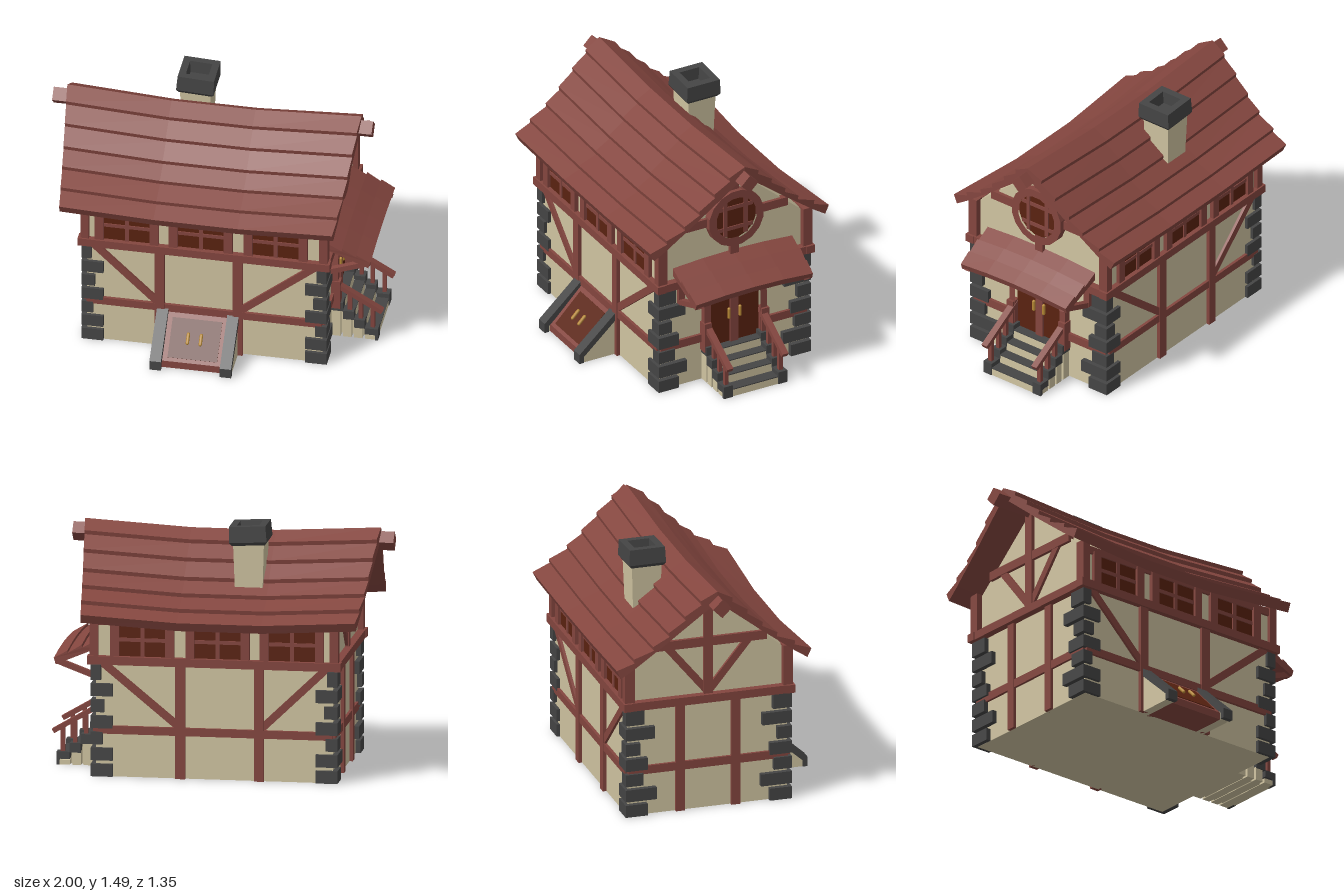
import * as THREE from 'three';

const CX = -0.01, CZ = -0.07; // centre of the house body

const colour = (name, hex) => {
  const m = new THREE.MeshStandardMaterial({ color: hex });
  m.name = name;
  return m;
};

export function createModel() {
  const model = new THREE.Group();
  model.name = 'timberHouse';
  const plaster = colour('plaster', 0xd0c4a1);
  const wood = colour('redTimber', 0x84463f);
  const stone = colour('darkStone', 0x454545);
  const panel = colour('darkPanel', 0x5a2210);
  const brass = colour('brass', 0xb98a35);

  const add = (name, geo, mat) => {
    const m = new THREE.Mesh(geo, mat);
    m.name = name;
    model.add(m);
    return m;
  };
  const box = (name, mat, x0, x1, y0, y1, z0, z1) => {
    const m = add(name, new THREE.BoxGeometry(x1 - x0, y1 - y0, z1 - z0), mat);
    m.position.set((x0 + x1) / 2, (y0 + y1) / 2, (z0 + z1) / 2);
    return m;
  };
  // square beam running between two points
  const strut = (name, a, b, w, h = w, mat = wood) => {
    const p = new THREE.Vector3(...a), q = new THREE.Vector3(...b);
    const m = add(name, new THREE.BoxGeometry(w, h, p.distanceTo(q)), mat);
    m.position.copy(p).add(q).multiplyScalar(0.5);
    m.lookAt(q);
    return m;
  };
  // [z, y] outline extruded along x
  const extrudeX = (pts, x0, x1, hole, steps = 1) => {
    const toV = ([z, y]) => new THREE.Vector2(-z, y);
    const shape = new THREE.Shape(pts.map(toV));
    if (hole) shape.holes.push(new THREE.Path(hole.map(toV)));
    const g = new THREE.ExtrudeGeometry(shape, { depth: x1 - x0, steps, bevelEnabled: false });
    return g.rotateY(Math.PI / 2).translate(x0, 0, 0);
  };
  // [x, y] outline extruded along z
  const extrudeZ = (pts, z0, z1, steps = 1) => {
    const shape = new THREE.Shape(pts.map(([x, y]) => new THREE.Vector2(x, y)));
    return new THREE.ExtrudeGeometry(shape, { depth: z1 - z0, steps, bevelEnabled: false }).translate(0, 0, z0);
  };
  const handle = (x, y, z, tilt = 0) => {
    const m = add('handle', new THREE.CapsuleGeometry(0.01, 0.055, 3, 8), brass);
    m.position.set(x, y, z);
    m.rotation.x = tilt;
  };

  // plastered body with gables
  add('walls', extrudeX([[CZ - 0.49, 0], [CZ - 0.49, 0.93], [CZ, 1.35], [CZ + 0.49, 0.93], [CZ + 0.49, 0]],
    CX - 0.7, CX + 0.7), plaster);

  // corner stones
  const frontW = [0.13, 0.13, 0.07, 0.13, 0.08, 0.13, 0.06], sideW = [0.135, 0.19, 0.11, 0.135, 0.09, 0.18, 0.115];
  for (const sx of [-1, 1]) for (const sz of [-1, 1]) for (let i = 0; i < 7; i++) {
    const m = add('cornerStone', new THREE.BoxGeometry(frontW[i], i === 6 ? 0.09 : 0.075, sideW[i]), stone);
    m.position.set(CX + sx * (0.73 - frontW[i] / 2), i * 0.096 + (i === 6 ? 0.045 : 0.038), CZ + sz * (0.51 - sideW[i] / 2));
  }

  // long walls: framing and windows, front and back
  for (const s of [1, -1]) {
    const zBox = (name, mat, x0, x1, y0, y1, d) => {
      const a = CZ + s * 0.47, b = CZ + s * (0.49 + d);
      box(name, mat, x0, x1, y0, y1, Math.min(a, b), Math.max(a, b));
    };
    zBox('floorBeam', wood, CX - 0.75, CX + 0.75, 0.672, 0.722, 0.035);
    zBox('middleBeam', wood, CX - 0.7, CX + 0.7, 0.257, 0.305, 0.018);
    for (const x of [-0.275, 0.19]) zBox('wallPost', wood, x - 0.029, x + 0.029, 0, 0.69, 0.022);
    const zf = CZ + s * 0.49;
    strut('wallBrace', [-0.67, 0.68, zf], [-0.29, 0.315, zf], 0.032, 0.045);
    strut('wallBrace', [0.65, 0.68, zf], [0.205, 0.315, zf], 0.032, 0.045);
    zBox('topPlate', wood, CX - 0.7, CX + 0.7, 0.905, 0.95, 0.015);
    for (const x of [-0.47, -0.03, 0.415]) {
      zBox('windowPane', panel, x - 0.14, x + 0.14, 0.72, 0.92, 0.006);
      for (const e of [-1, 1]) zBox('windowJamb', wood, x + e * 0.163 - 0.026, x + e * 0.163 + 0.026, 0.71, 0.92, 0.025);
      zBox('windowMullion', wood, x - 0.012, x + 0.012, 0.71, 0.92, 0.014);
      zBox('windowBar', wood, x - 0.14, x + 0.14, 0.81, 0.832, 0.012);
    }
    for (const sx of [-1, 1]) {
      const x = CX + sx * 0.71;
      const a = CZ + s * 0.455, b = CZ + s * 0.515;
      box('cornerPost', wood, x - 0.025, x + 0.025, 0.71, 0.97, Math.min(a, b), Math.max(a, b));
    }
  }

  // gable walls: shared framing
  for (const s of [1, -1]) {
    const xBox = (name, y0, y1, z0, z1, d) => {
      const a = CX + s * 0.68, b = CX + s * (0.7 + d);
      box(name, wood, Math.min(a, b), Math.max(a, b), y0, y1, z0, z1);
    };
    xBox('floorBeam', 0.672, 0.722, CZ - 0.525, CZ + 0.525, 0.045);
    xBox('gableTie', 1.02, 1.075, CZ - 0.36, CZ + 0.36, 0.02);
    xBox('kingPost', 0.71, 1.36, CZ - 0.028, CZ + 0.028, 0.025);
    for (const e of [1, -1]) {
      const x = CX + s * 0.7;
      if (s > 0) {
        const z0 = CZ + e * 0.19, z1 = CZ + e * 0.49;
        xBox('middleBeam', 0.257, 0.308, Math.min(z0, z1), Math.max(z0, z1), 0.018);
      } else {
        xBox('wallPost', 0, 0.69, CZ + e * 0.17 - 0.028, CZ + e * 0.17 + 0.028, 0.02);
        strut('gableBrace', [x, 0.73, CZ], [x, 1.06, CZ + e * 0.27], 0.034, 0.045);
      }
    }
    if (s < 0) xBox('middleBeam', 0.257, 0.308, CZ - 0.49, CZ + 0.49, 0.016);
  }

  // roof: stepped planks, sagging in the middle
  const off = [0, 0.095, 0.187, 0.28, 0.37, 0.48, 0.58];
  const top = [1.4, 1.335, 1.245, 1.15, 1.07, 1.0, 0.935];
  const half = [[0, 1.4]];
  for (let i = 1; i < 7; i++) {
    half.push([off[i], top[i] + 0.012]);
    if (i < 6) half.push([off[i] - 0.004, top[i] - 0.012]);
  }
  half.push([0.555, 0.895], [0.47, 0.955], [0.28, 1.105], [0, 1.335]);
  const outerHalf = half.slice(0, -3), innerHalf = half.slice(-3, -1);
  const flip = (a) => a.map(([z, y]) => [-z, y]).reverse();
  const section = [...outerHalf, ...innerHalf, [0, 1.335], ...flip(innerHalf), ...flip(outerHalf.slice(1))];
  const roofGeo = extrudeX(section, 0, 3, null, 3);
  const stations = [-0.92, -0.3, 0.2, 0.83], pos = roofGeo.attributes.position;
  for (let i = 0; i < pos.count; i++) {
    const k = Math.round(pos.getX(i)), end = k === 0 ? -1 : k === 3 ? 1 : 0, z = pos.getZ(i);
    pos.setXYZ(i, stations[k] - end * 0.11 * Math.abs(z), pos.getY(i) + (end ? 0.035 : 0),
      CZ - 0.005 + z * (end ? 1.03 : 1));
  }
  roofGeo.computeVertexNormals();
  add('roof', roofGeo, wood);

  // ridge beam ends, set on edge
  for (const [a, b] of [[-1, -0.6], [0.5, 0.9]]) {
    const m = box('ridgeBeam', wood, a, b, 1.315, 1.395, CZ - 0.04, CZ + 0.04);
    m.rotation.x = Math.PI / 4;
  }

  // chimney
  const square = (profile) => {
    const pts = profile.map(([r, y]) => new THREE.Vector2(r * Math.SQRT2, y));
    const g = new THREE.LatheGeometry(pts, 4).rotateY(Math.PI / 4).toNonIndexed();
    g.computeVertexNormals();
    return g;
  };
  const stack = add('chimneyStack', square([[0.08, 1.05], [0.092, 1.4]]), plaster);
  stack.position.set(-0.185, 0, -0.303);
  const cap = add('chimneyCap', square([[0, 0], [0.098, 0], [0.112, 0.02], [0.108, 0.115], [0.066, 0.115], [0.06, 0.04], [0, 0.04]]), stone);
  cap.position.set(-0.185, 1.37, -0.303);
  cap.rotation.z = -0.05;

  // round gable window
  const ring = (r) => Array.from({ length: 16 }, (_, i) => {
    const a = ((i + 0.5) / 16) * Math.PI * 2;
    return [CZ + r * Math.cos(a), 1.048 + r * Math.sin(a)];
  });
  add('roundWindowFrame', extrudeX(ring(0.184), 0.68, 0.74, ring(0.135)), wood);
  add('roundWindowPane', extrudeX(ring(0.14), 0.68, 0.722), panel);
  for (const e of [-0.068, 0.068]) {
    box('roundWindowBar', wood, 0.7, 0.73, 0.932, 1.164, CZ + e - 0.012, CZ + e + 0.012);
    box('roundWindowBar', wood, 0.7, 0.728, 1.036 + e, 1.06 + e, CZ - 0.116, CZ + 0.116);
  }

  // arched double door
  const arch = (w, y0, ys, h) => {
    const pts = [[CZ + w, y0]];
    for (let i = 0; i <= 8; i++) {
      const a = (i / 8) * Math.PI;
      pts.push([CZ + w * Math.cos(a), ys + h * Math.sin(a)]);
    }
    return [...pts, [CZ - w, y0]];
  };
  add('doorFrame', extrudeX(arch(0.208, 0.2, 0.5, 0.205), 0.67, 0.73, arch(0.165, 0.205, 0.5, 0.16)), wood);
  add('doorPanel', extrudeX(arch(0.17, 0.2, 0.5, 0.163), 0.67, 0.7), panel);
  box('doorStile', wood, 0.69, 0.715, 0.21, 0.655, CZ - 0.026, CZ + 0.026);
  for (const e of [-1, 1]) {
    handle(0.715, 0.405, CZ + e * 0.037);
    box('doorJambFoot', wood, 0.69, 0.745, 0.2, 0.39, CZ + e * 0.192 - 0.024, CZ + e * 0.192 + 0.024);
  }

  // door canopy with brackets
  const canopy = extrudeZ([[0.68, 0.75], [0.945, 0.637], [0.957, 0.675], [0.875, 0.722], [0.873, 0.703 + 0.005],
    [0.79, 0.76], [0.788, 0.742], [0.68, 0.8]].map(([x, y]) => [x, y]), -1, 1, 4);
  const cp = canopy.attributes.position;
  for (let i = 0; i < cp.count; i++) {
    const u = cp.getZ(i), w = 0.4 - 0.05 * Math.max(0, cp.getX(i) - 0.75);
    cp.setXYZ(i, cp.getX(i), cp.getY(i) + 0.018 * (1 - u * u), CZ + u * w);
  }
  canopy.computeVertexNormals();
  add('canopy', canopy, wood);
  for (const e of [-1, 1]) {
    const z = CZ + e * 0.353;
    strut('canopyBracket', [0.69, 0.56, z], [0.945, 0.655, z], 0.036, 0.032);
    box('canopyPost', wood, 0.67, 0.715, 0.55, 0.69, z - 0.02, z + 0.02);
  }

  // entrance steps with stone-capped sides and railings
  const stepX = [0.68, 0.76, 0.825, 0.89, 0.968];
  for (let i = 0; i < 4; i++) {
    const x0 = stepX[i], x1 = stepX[i + 1], h = 0.21 - i * 0.053, sideH = 0.24 - i * 0.054;
    box('stepRiser', plaster, x0, x1 - 0.005, 0, h - 0.006, CZ - 0.17, CZ + 0.17);
    box('stepTread', stone, x0, x1 - 0.003, h - 0.006, h, CZ - 0.165, CZ + 0.165);
    for (const e of [-1, 1]) {
      const z = CZ + e * 0.182;
      box('sideWall', plaster, x0, x1 - 0.015, 0, sideH - 0.05, z - 0.024, z + 0.024);
      box('sideStone', stone, x0, x1, i === 3 ? 0.035 : sideH - 0.058, sideH, z - 0.03, z + 0.03);
      if (i === 3) box('footStone', stone, x1 - 0.018, x1, 0, 0.06, z - 0.03, z + 0.03);
      if (i > 0) {
        const x = (x0 + x1) / 2 + 0.005;
        box('baluster', wood, x - 0.012, x + 0.012, sideH - 0.01, 0.36 - (x - 0.72) * 0.62, z - 0.012, z + 0.012);
      }
    }
  }
  for (const e of [-1, 1]) strut('handrail', [0.69, 0.373, CZ + e * 0.185], [0.99, 0.197, CZ + e * 0.185], 0.04, 0.028);

  // sloping cellar hatch
  for (const x of [-0.256, 0.162]) {
    add('hatchCheek', extrudeX([[0.4, 0], [0.4, 0.25], [0.43, 0.235], [0.65, 0.04], [0.65, 0]], x - 0.028, x + 0.028), plaster);
    add('hatchStone', extrudeX([[0.4, 0.28], [0.435, 0.28], [0.678, 0.06], [0.678, 0], [0.648, 0], [0.648, 0.04], [0.43, 0.235], [0.4, 0.235]],
      x - 0.034, x + 0.034), stone);
  }
  add('hatchFrame', extrudeX([[0.4, 0], [0.4, 0.262], [0.425, 0.262], [0.638, 0.045], [0.638, 0]], -0.23, 0.135), wood);
  const tilt = Math.atan2(0.213, 0.217);
  const door = add('hatchDoor', new THREE.BoxGeometry(0.295, 0.24, 0.008), panel);
  door.position.set(-0.045, 0.147, 0.538);
  door.rotation.x = -tilt;
  for (const x of [-0.085, -0.008]) handle(x, 0.158, 0.55, -tilt);

  return model;
}
